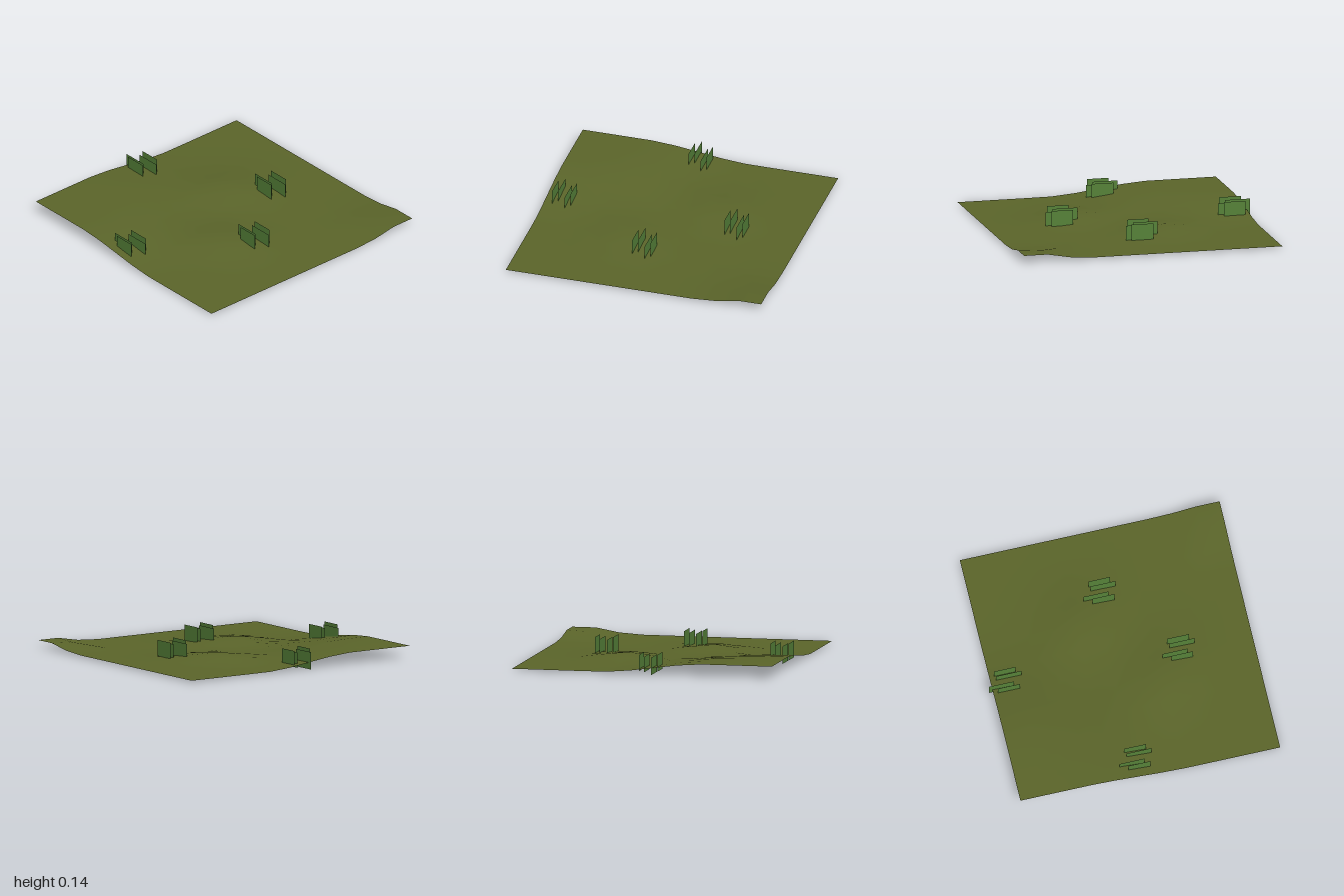
import * as THREE from 'three';

const groundMaterial = new THREE.MeshStandardMaterial({ name: 'olive ground', color: 0x5b652a, side: THREE.DoubleSide });
const grassMaterial = new THREE.MeshStandardMaterial({ name: 'grass green', color: 0x568239, side: THREE.DoubleSide });

const SEGMENTS = 11;
const SIZE = 1.97;

// Ground height from grid steps counted from the front right-hand corner (-x, +z)
function groundHeight(i, k) {
  const { smoothstep } = THREE.MathUtils;
  const highCorner = 0.078 * (1 - smoothstep(Math.hypot(i, k), 2.8, 7.3));
  const lowCorner = 0.043 * (1 - smoothstep(Math.hypot(SEGMENTS - i, SEGMENTS - k), 1, 2.5));
  const mound = (a, b) => 0.05 * Math.exp(-((i - a) ** 2 + (k - b) ** 2) / 1.9);
  return Math.min(0.09, 0.012 + highCorner + lowCorner + mound(7, 4) + mound(4, 7));
}

// Gently rolling square of ground
function makeGround() {
  const geometry = new THREE.PlaneGeometry(SIZE, SIZE, SEGMENTS, SEGMENTS);
  geometry.rotateX(-Math.PI / 2);
  const p = geometry.attributes.position;
  const step = SIZE / SEGMENTS;
  for (let n = 0; n < p.count; n++) {
    const i = (p.getX(n) + SIZE / 2) / step;
    const k = (SIZE / 2 - p.getZ(n)) / step;
    p.setY(n, groundHeight(i, k));
  }
  geometry.translate(0.01, 0, 0);
  geometry.computeVertexNormals();
  const ground = new THREE.Mesh(geometry, groundMaterial);
  ground.name = 'ground';
  return ground;
}

// Upright blades of one clump: [left x, right x, bottom y, top y, z]
const BLADES = [
  [-0.07, 0.095, 0.02, 0.145, 0.07],
  [-0.13, 0.06, 0, 0.13, 0.035],
  [-0.06, 0.13, 0.01, 0.125, -0.035],
  [-0.07, 0.095, 0.02, 0.14, -0.07],
];

function makeClump(x, z) {
  const clump = new THREE.Group();
  clump.name = 'grassClump';
  for (const [x0, x1, y0, y1, bladeZ] of BLADES) {
    const blade = new THREE.Mesh(new THREE.PlaneGeometry(x1 - x0, y1 - y0), grassMaterial);
    blade.name = 'grassBlade';
    blade.position.set((x0 + x1) / 2, (y0 + y1) / 2, bladeZ);
    clump.add(blade);
  }
  clump.position.set(x, 0, z);
  return clump;
}

export function createModel() {
  const model = new THREE.Group();
  model.name = 'grassyGround';
  model.add(makeGround());
  for (const [x, z] of [[-0.87, 0.04], [-0.07, 0.85], [-0.03, -0.49], [0.435, 0.08]]) {
    model.add(makeClump(x, z));
  }
  return model;
}
